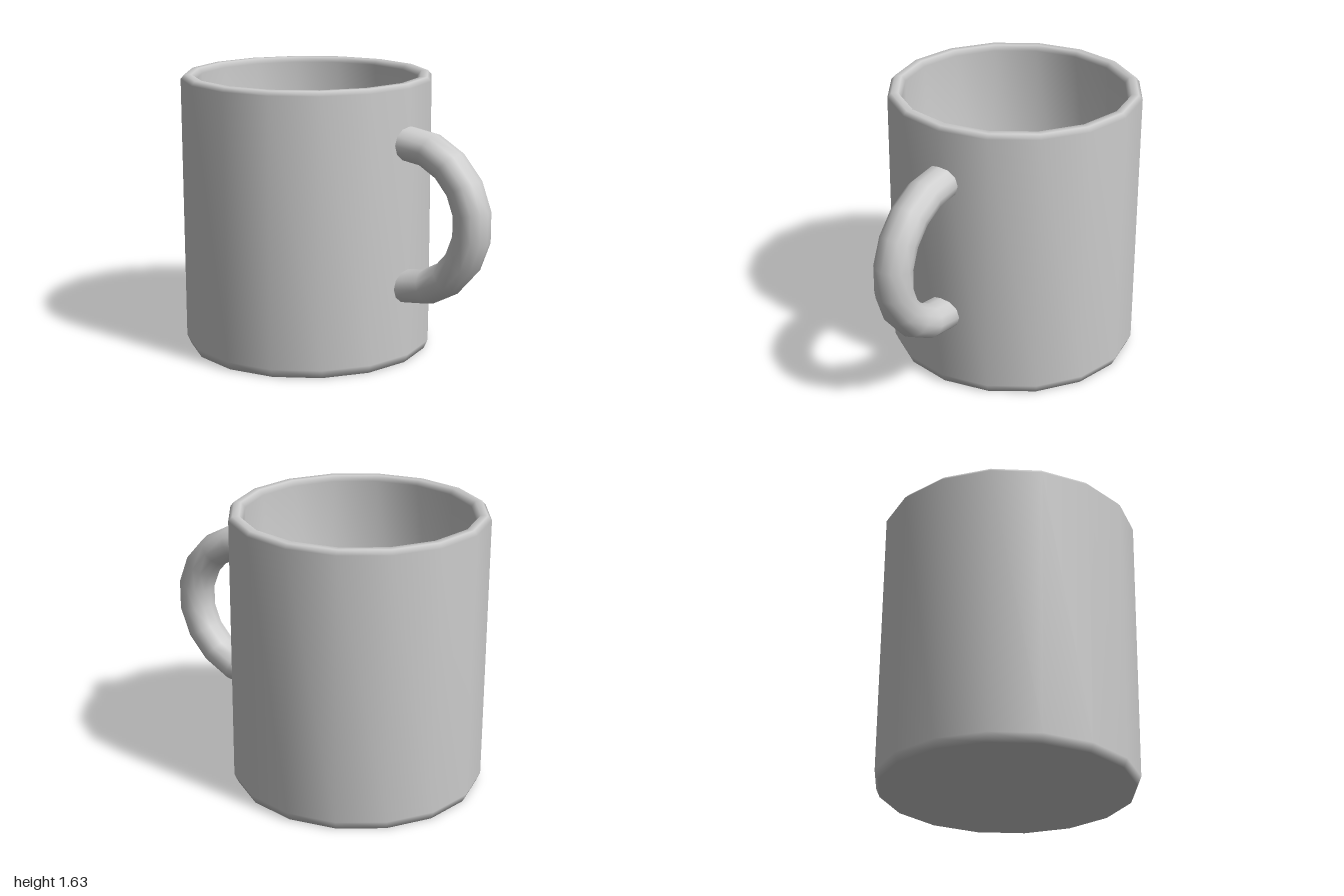
import * as THREE from 'three';
import { mergeVertices } from 'three/addons/utils/BufferGeometryUtils.js';

// Weld seams so shading runs smoothly over the whole part
function smooth(geometry) {
  geometry.deleteAttribute('uv');
  geometry.deleteAttribute('normal');
  const welded = mergeVertices(geometry, 1e-4);
  welded.computeVertexNormals();
  return welded;
}

export function createModel() {
  const model = new THREE.Group();
  model.name = 'mug';
  const ceramic = new THREE.MeshStandardMaterial({ color: 0xcccccc });
  ceramic.name = 'grey ceramic';

  // Cup: sixteen-sided wall with bevelled foot, rounded rim and hollow inside
  const profile = [
    [0, 0], [0.715, 0], [0.737, 0.05], [0.737, 1.605], [0.715, 1.63],
    [0.675, 1.63], [0.652, 1.6], [0.652, 0.09], [0, 0.09],
  ].map(([r, y]) => new THREE.Vector2(r, y));
  const cup = new THREE.Mesh(smooth(new THREE.LatheGeometry(profile, 16)), ceramic);
  cup.name = 'cup';
  cup.position.x = -0.263;
  model.add(cup);

  // Handle: half ring, a little wider than tall, its ends sunk into the wall
  const ring = new THREE.TorusGeometry(0.42, 0.1, 12, 9, Math.PI);
  ring.rotateZ(-Math.PI / 2);
  ring.scale(1.06, 1, 1.1);
  const p = ring.attributes.position;
  for (let i = 0; i < p.count; i++) {
    if (p.getX(i) < 0.01) p.setX(i, -0.04);
  }
  const handle = new THREE.Mesh(smooth(ring), ceramic);
  handle.name = 'handle';
  handle.position.set(0.457, 0.88, 0);
  model.add(handle);

  return model;
}
